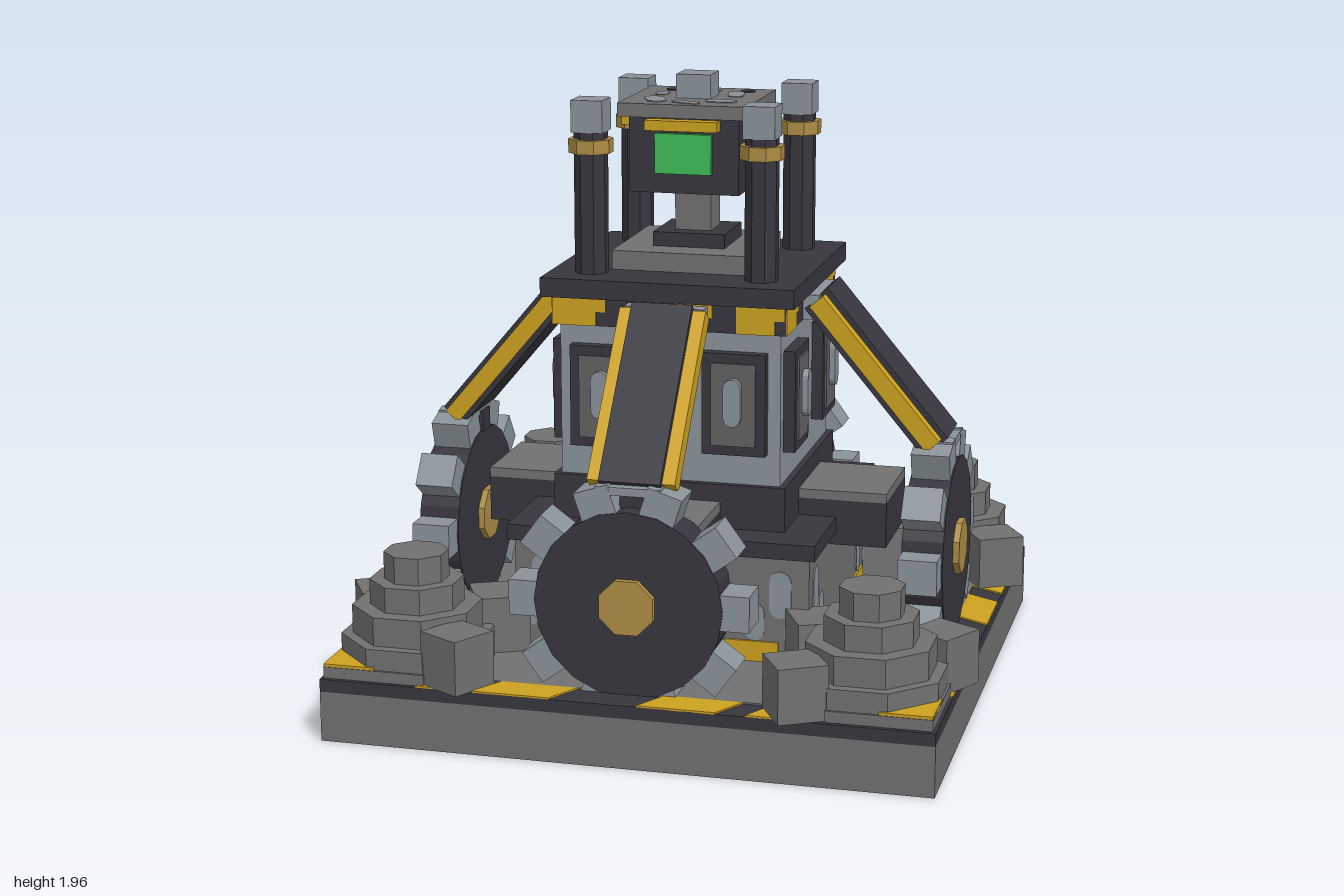
import * as THREE from 'three';

const mat = (name, color, side = THREE.FrontSide) =>
  Object.assign(new THREE.MeshStandardMaterial({ color, side, flatShading: true }), { name });

export function createModel() {
  const stone = mat('stone grey', 0x717171);
  const panel = mat('dark panel grey', 0x626263);
  const charcoal = mat('charcoal', 0x37363e);
  const silver = mat('silver', 0x8a9399);
  const yellow = mat('hazard yellow', 0xcda220);
  const brass = mat('brass', 0xad8d45);
  const green = mat('screen green', 0x40bd57);

  const root = new THREE.Group();
  root.name = 'rockCrusherTower';

  const add = (parent, name, geo, m, x = 0, y = 0, z = 0) => {
    const mesh = new THREE.Mesh(geo, m);
    mesh.name = name;
    mesh.position.set(x, y, z);
    parent.add(mesh);
    return mesh;
  };
  const box = (p, name, m, w, h, d, x = 0, y = 0, z = 0) =>
    add(p, name, new THREE.BoxGeometry(w, h, d), m, x, y, z);
  // box spanning y0..y1, square in plan
  const slab = (name, m, half, y0, y1) =>
    box(root, name, m, half * 2, y1 - y0, half * 2, 0, (y0 + y1) / 2, 0);
  // upright octagonal drum with flats facing the axes
  const drum = (p, name, m, r, y0, y1, x, z) => {
    const d = add(p, name, new THREE.CylinderGeometry(r, r, y1 - y0, 8), m, x, (y0 + y1) / 2, z);
    d.rotation.y = Math.PI / 8;
    return d;
  };
  // flat outline extruded into a thin plate, centred on its own plane
  const plate = (pts, t) => new THREE.ExtrudeGeometry(
    new THREE.Shape(pts.map(([x, y]) => new THREE.Vector2(x, y))), { depth: t, bevelEnabled: false });
  // rounded patch
  const pill = (w, h, t) => {
    const s = new THREE.Shape(), r = w / 2, k = h / 2 - r;
    s.absarc(0, k, r, 0, Math.PI, false);
    s.absarc(0, -k, r, Math.PI, Math.PI * 2, false);
    return new THREE.ExtrudeGeometry(s, { depth: t, bevelEnabled: false, curveSegments: 4 });
  };

  // Central stack
  slab('deckTrim', charcoal, 0.945, 0.158, 0.198);
  slab('deckUnderside', stone, 0.935, 0.152, 0.158);
  slab('deckFloor', stone, 0.84, 0.19, 0.203);
  slab('rockPlinth', stone, 0.47, 0.2, 0.54);
  slab('plinthSlab', charcoal, 0.49, 0.54, 0.59);
  slab('skirt', charcoal, 0.37, 0.59, 0.73);
  slab('body', silver, 0.35, 0.73, 1.21);
  slab('hazardBand', charcoal, 0.37, 1.21, 1.3);
  slab('platform', charcoal, 0.4, 1.3, 1.36);
  slab('mastBase', stone, 0.22, 1.36, 1.42);
  slab('mastCollar', charcoal, 0.115, 1.42, 1.465);
  slab('mast', stone, 0.058, 1.465, 1.6);
  slab('head', charcoal, 0.175, 1.6, 1.84);
  slab('headRoof', stone, 0.205, 1.838, 1.88);
  slab('roofCap', silver, 0.055, 1.88, 1.955);

  // Worn patches on the roof
  [[-0.11, 0.1, 0.06, 0.12, 0.4], [0.1, 0.1, 0.06, 0.1, 1.5], [0.11, -0.06, 0.05, 0.12, 0.2],
    [-0.02, -0.14, 0.05, 0.13, 1.4], [-0.12, -0.03, 0.04, 0.07, 0], [0.0, 0.15, 0.04, 0.1, 1.2]]
    .forEach(([x, z, w, h, a]) => {
      const p = add(root, 'roofPatch', pill(w, h, 0.004), silver, x, 1.879, z);
      p.rotation.set(-Math.PI / 2, 0, a);
    });
  [[-0.11, -0.13], [0.13, -0.14]].forEach(([x, z]) => {
    add(root, 'roofSpot', pill(0.045, 0.05, 0.004), charcoal, x, 1.879, z).rotation.x = -Math.PI / 2;
  });

  // One side, facing +z
  const side = (g) => {
    // Hollow base wall
    box(g, 'baseWall', stone, 1.89, 0.158, 0.012, 0, 0.079, 0.939);

    // Hazard markings on the deck border
    [[-0.31, 0.24], [0.2, 0.24], [0.47, 0.12], [-0.56, 0.1]].forEach(([x, w]) => {
      const p = add(g, 'deckHazard', plate([[-w / 2 - 0.03, -0.0525], [w / 2 - 0.03, -0.0525],
        [w / 2 + 0.03, 0.0525], [-w / 2 + 0.03, 0.0525]], 0.006), yellow, x, 0.197, 0.8925);
      p.rotation.x = -Math.PI / 2;
    });

    // Plinth details
    [-1, 1].forEach((s) => {
      box(g, 'plinthHazard', yellow, 0.17, 0.065, 0.008, s * 0.29, 0.235, 0.473);
      [[0.38, 0.42, 0.07, 0.15], [0.3, 0.33, 0.06, 0.12], [0.42, 0.3, 0.05, 0.08]].forEach(([x, y, w, h]) =>
        add(g, 'plinthPatch', pill(w, h, 0.006), silver, s * x, y, 0.468));
    });

    // Axle housing
    box(g, 'axleHousing', charcoal, 0.33, 0.145, 0.3, 0, 0.573, 0.5);
    box(g, 'axleHousingTop', stone, 0.33, 0.03, 0.3, 0, 0.66, 0.5);

    // Toothed wheel
    const wheel = new THREE.Group();
    wheel.name = 'toothedWheel';
    wheel.position.set(0, 0.475, 0.785);
    g.add(wheel);
    add(wheel, 'wheelDisc', new THREE.CylinderGeometry(0.29, 0.29, 0.13, 20), charcoal).rotation.x = Math.PI / 2;
    const hub = add(wheel, 'wheelHub', new THREE.CylinderGeometry(0.09, 0.09, 0.17, 8), brass);
    hub.rotation.set(Math.PI / 2, Math.PI / 8, 0);
    for (let i = 0; i < 10; i++) {
      const a = (i + 0.5) * Math.PI / 5;
      const t = box(wheel, 'wheelTooth', silver, 0.11, 0.11, 0.122, -Math.sin(a) * 0.315, Math.cos(a) * 0.315, 0);
      t.rotation.z = a;
    }

    // Sloping leg
    const leg = new THREE.Group();
    leg.name = 'leg';
    leg.position.set(0, 1.05, 0.6);
    leg.rotation.x = -0.7;
    g.add(leg);
    box(leg, 'legBeam', charcoal, 0.19, 0.6, 0.09);
    [-1, 1].forEach((s) => {
      box(leg, 'legRail', yellow, 0.042, 0.58, 0.055, s * 0.114, 0, 0);
      box(leg, 'legRailBacking', charcoal, 0.036, 0.59, 0.02, s * 0.112, 0, -0.035);
    });
    box(g, 'legHead', silver, 0.25, 0.08, 0.06, 0, 1.25, 0.39);
    box(g, 'legShoe', silver, 0.2, 0.025, 0.12, 0, 0.825, 0.785);
    box(g, 'legFoot', charcoal, 0.075, 0.07, 0.08, 0, 0.79, 0.755);

    // Framed windows either side of the leg
    [-1, 1].forEach((s) => {
      const x = s * 0.21;
      box(g, 'windowFrame', charcoal, 0.2, 0.32, 0.04, x, 0.99, 0.367);
      box(g, 'windowPane', panel, 0.14, 0.26, 0.008, x, 0.99, 0.389);
      add(g, 'windowVent', pill(0.055, 0.15, 0.02), silver, x, 1.0, 0.392);
    });

    // Hazard band markings
    [[-0.285, 0.17], [0.08, 0.12], [0.29, 0.15]].forEach(([x, w]) =>
      add(g, 'bandHazard', plate([[-w / 2, -0.045], [w / 2 - 0.03, -0.045], [w / 2 - 0.03, 0],
        [w / 2, 0.0], [w / 2, 0.045], [-w / 2, 0.045]], 0.006), yellow, x, 1.255, 0.367));

    // Head screen and its brow
    box(g, 'screen', green, 0.18, 0.125, 0.02, 0, 1.725, 0.18);
    box(g, 'screenBrow', yellow, 0.23, 0.032, 0.045, 0, 1.815, 0.193);

    // Platform corner pillar
    drum(g, 'pillar', charcoal, 0.053, 1.36, 1.8, 0.27, 0.27);
    drum(g, 'pillarRing', brass, 0.07, 1.735, 1.778, 0.27, 0.27);
    box(g, 'pillarLamp', silver, 0.1, 0.1, 0.1, 0.27, 1.85, 0.27);

    // Corner rock pile
    const c = 0.71;
    box(g, 'cornerPad', stone, 0.32, 0.035, 0.32, 0.775, 0.217, 0.775);
    box(g, 'cornerHazard', yellow, 0.16, 0.009, 0.16, 0.855, 0.24, 0.855);
    [[0.235, 0.2, 0.3], [0.2, 0.3, 0.39], [0.145, 0.39, 0.47], [0.1, 0.47, 0.555]].forEach(([r, y0, y1]) =>
      drum(g, 'rockTier', stone, r, y0, y1, c, c));
    [[0.52, 0.893, 0.155, 0.17, 0.52], [0.893, 0.52, 0.155, 0.17, -0.52], [0.51, 0.51, 0.17, 0.18, 0.45]]
      .forEach(([x, z, s, h, a]) => {
        box(g, 'rockBlock', stone, s, h, s, x, 0.2 + h / 2, z).rotation.y = a;
      });
  };

  for (let i = 0; i < 4; i++) {
    const g = new THREE.Group();
    g.name = ['frontSide', 'leftSide', 'backSide', 'rightSide'][i];
    g.rotation.y = i * Math.PI / 2;
    side(g);
    root.add(g);
  }
  return root;
}
